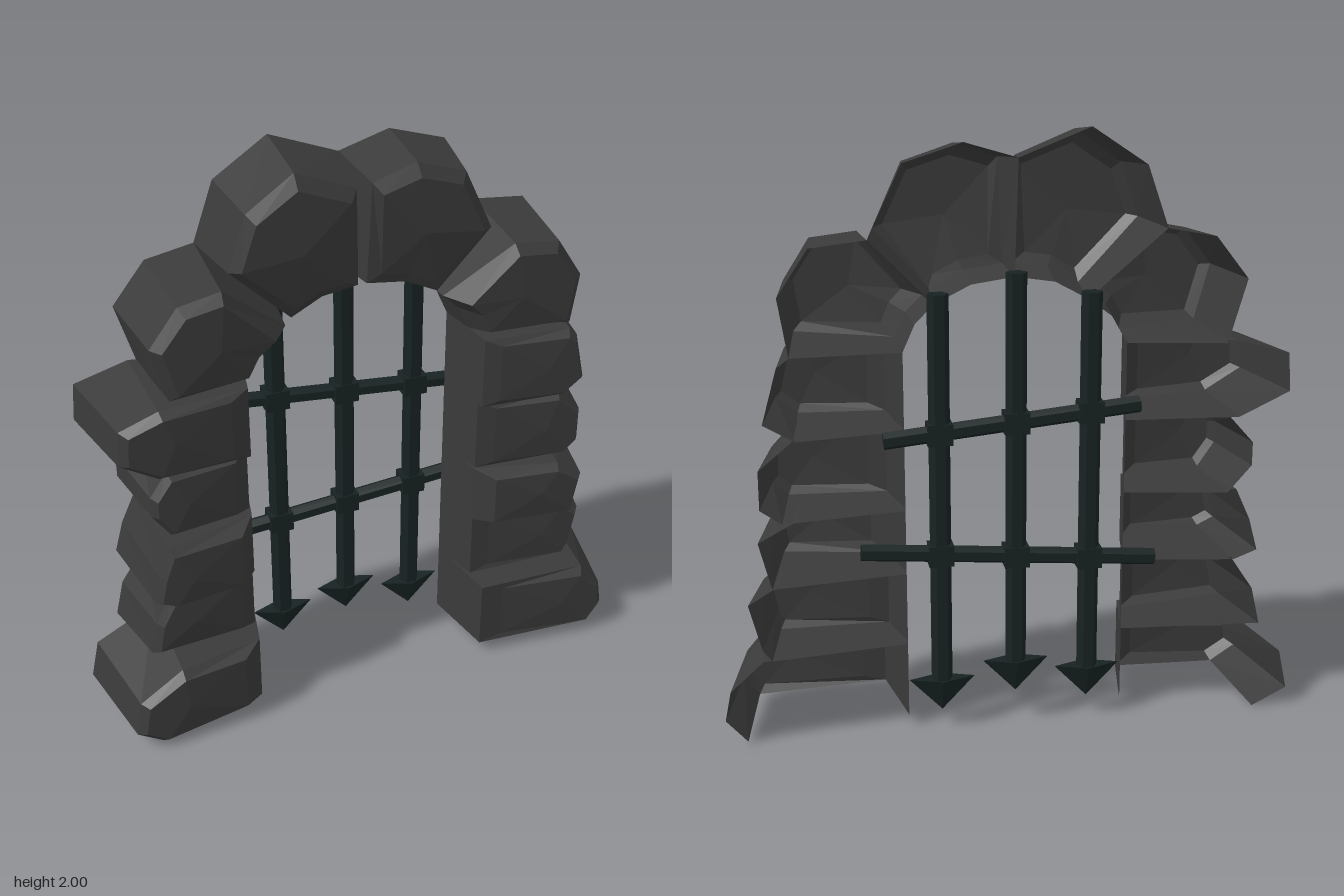
import * as THREE from 'three';

const BACK = -0.19;
const stoneMat = new THREE.MeshStandardMaterial({ color: 0x3a3a3a, flatShading: true, side: THREE.DoubleSide });
const ironMat = new THREE.MeshStandardMaterial({ color: 0x182222, flatShading: true });

// Hollow stone, open at the back. The outline runs counter-clockwise and starts
// with the points facing the opening, where the front slopes back and the side
// is shorter in depth.
function stone(name, outline, zFront, throat, { zThroat, outer, inner, ky, openEdge = -1 }) {
  const n = outline.length;
  const cx = outline.reduce((s, p) => s + p[0], 0) / n;
  const cy = outline.reduce((s, p) => s + p[1], 0) / n;
  const ring = (zOuter, zInner, kOuter, kInner, kyRing) => outline.map(([x, y], i) => {
    const faces = i < throat;
    return new THREE.Vector3(cx + (x - cx) * (faces ? kInner : kOuter), cy + (y - cy) * kyRing, faces ? zInner : zOuter);
  });
  const rings = [
    ring(BACK, -0.13, 1, 1, 1),
    ring(zFront - 0.03, zThroat, outer, inner, ky),
    ring(zFront, zFront - 0.03, outer * 0.85, inner * 0.75, ky * 0.82),
  ];
  const centre = new THREE.Vector3(cx, cy, zFront);
  const pts = [];
  for (let i = 0; i < n; i++) {
    const j = (i + 1) % n;
    for (let r = 0; r < 2; r++) {
      if (i === openEdge && r === 0) continue;
      const [a, b, c, d] = [rings[r][i], rings[r][j], rings[r + 1][j], rings[r + 1][i]];
      pts.push(a, b, c, a, c, d);
    }
    pts.push(rings[2][i], rings[2][j], centre);
  }
  const geo = new THREE.BufferGeometry().setFromPoints(pts);
  geo.computeVertexNormals();
  const mesh = new THREE.Mesh(geo, stoneMat);
  mesh.name = name;
  return mesh;
}

// Bar between two points
function bar(a, b, radius, name) {
  const from = new THREE.Vector3(...a), to = new THREE.Vector3(...b);
  const geo = new THREE.CylinderGeometry(radius, radius, from.distanceTo(to), 6);
  geo.rotateY(Math.PI / 6);
  const mesh = new THREE.Mesh(geo, ironMat);
  mesh.position.lerpVectors(from, to, 0.5);
  mesh.quaternion.setFromUnitVectors(new THREE.Vector3(0, 1, 0), to.clone().sub(from).normalize());
  mesh.name = name;
  return mesh;
}

// Pillar of stacked stones; the lowest has no underside
function pillar(name, stones, bottomEdge) {
  const group = new THREE.Group();
  group.name = name;
  stones.forEach(([z, zThroat, outline], i) => group.add(stone(`pillarStone${i + 1}`, outline, z, 2,
    { zThroat, outer: 0.72, inner: 0.86, ky: 0.94, openEdge: i === 0 ? bottomEdge : -1 })));
  return group;
}

export function createModel() {
  const model = new THREE.Group();

  // Pillar on the right (-x), bottom to top
  const rightPillar = pillar('rightPillar', [
    [0.2, 0.11, [[-0.38, 0.04], [-0.38, 0.31], [-0.72, 0.31], [-0.93, 0.2], [-0.96, 0.06], [-0.84, 0]]],
    [0.1, 0.03, [[-0.38, 0.3], [-0.38, 0.56], [-0.74, 0.56], [-0.82, 0.44], [-0.85, 0.31]]],
    [0.17, 0.06, [[-0.38, 0.55], [-0.38, 0.8], [-0.75, 0.8], [-0.8, 0.69], [-0.83, 0.58], [-0.75, 0.55]]],
    [0.11, 0.03, [[-0.38, 0.79], [-0.38, 1.05], [-0.72, 1.05], [-0.8, 0.96], [-0.8, 0.88], [-0.72, 0.79]]],
    [0.16, 0.1, [[-0.38, 1.04], [-0.38, 1.31], [-0.73, 1.31], [-0.91, 1.26], [-0.92, 1.13], [-0.75, 1.05]]],
  ], 5);

  // Pillar on the left (+x), bottom to top
  const leftPillar = pillar('leftPillar', [
    [0.17, 0.14, [[0.35, 0.31], [0.35, 0.04], [0.89, 0.02], [0.96, 0.1], [0.94, 0.2], [0.83, 0.3]]],
    [0.08, 0.05, [[0.35, 0.56], [0.35, 0.3], [0.8, 0.3], [0.83, 0.34], [0.87, 0.5], [0.77, 0.56]]],
    [0.16, 0.06, [[0.35, 0.78], [0.35, 0.55], [0.79, 0.55], [0.83, 0.71], [0.7, 0.78]]],
    [0.11, 0.06, [[0.35, 1.05], [0.35, 0.77], [0.75, 0.77], [0.82, 0.82], [0.82, 0.95], [0.7, 1.05]]],
    [0.15, 0.1, [[0.35, 1.31], [0.35, 1.04], [0.7, 1.04], [0.8, 1.1], [0.75, 1.28], [0.71, 1.31]]],
  ], 1);

  // Arch stones, right to left
  const arch = new THREE.Group();
  arch.name = 'arch';
  [
    [0.14, [[-0.38, 1.3], [-0.33, 1.39], [-0.25, 1.45], [-0.49, 1.68], [-0.65, 1.65], [-0.76, 1.51], [-0.7, 1.3]]],
    [0.08, [[-0.25, 1.45], [-0.14, 1.51], [-0.01, 1.53], [-0.01, 1.91], [-0.24, 2], [-0.42, 1.88], [-0.49, 1.68]]],
    [0.06, [[-0.01, 1.53], [0.13, 1.51], [0.25, 1.45], [0.46, 1.67], [0.35, 1.9], [0.16, 1.96], [-0.01, 1.91]]],
    [0.15, [[0.25, 1.45], [0.31, 1.39], [0.35, 1.3], [0.71, 1.31], [0.74, 1.5], [0.64, 1.65], [0.46, 1.67]]],
  ].forEach(([z, outline], i) => arch.add(stone(`archStone${i + 1}`, outline, z, 3,
    { zThroat: 0.02, outer: 0.86, inner: 0.93, ky: 0.9 })));

  // Iron gate: spiked uprights, tilted crossbars and a collar at each crossing
  const gate = new THREE.Group();
  gate.name = 'gate';
  const z = -0.155;
  const crossbars = [
    { h: x => 1.06 - 0.1 * x, x0: -0.42, x1: 0.42 },
    { h: x => 0.605 + 0.08 * x, x0: -0.48, x1: 0.5 },
  ];
  crossbars.forEach(({ h, x0, x1 }) => gate.add(bar([x0, h(x0), z], [x1, h(x1), z], 0.029, 'crossbar')));
  [[-0.255, 0.19, 1.48], [-0.01, 0.23, 1.55], [0.24, 0.18, 1.49]].forEach(([x, base, top]) => {
    gate.add(bar([x, base, z], [x, top, z], 0.035, 'upright'));
    const spike = new THREE.Mesh(new THREE.ConeGeometry(0.11, 0.115, 4), ironMat);
    spike.scale.z = 0.36;
    spike.rotation.x = Math.PI;
    spike.position.set(x, base - 0.0575, z);
    spike.name = 'spike';
    gate.add(spike);
    crossbars.forEach(({ h }) => {
      const collar = new THREE.Mesh(new THREE.BoxGeometry(0.082, 0.07, 0.068), ironMat);
      collar.position.set(x, h(x), z);
      collar.name = 'collar';
      gate.add(collar);
    });
  });

  model.add(rightPillar, leftPillar, arch, gate);
  return model;
}
